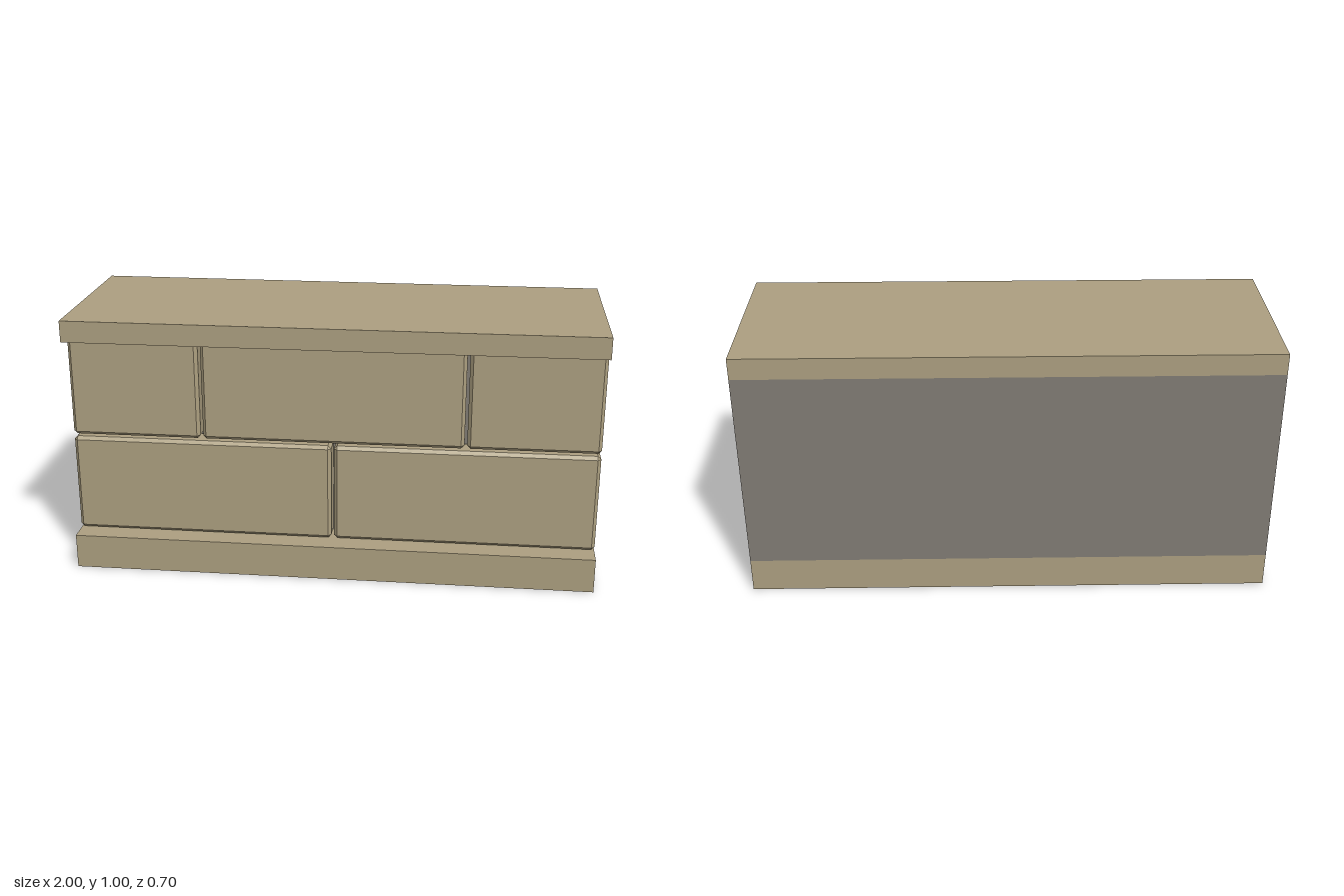
import * as THREE from 'three';
import { ConvexGeometry } from 'three/addons/geometries/ConvexGeometry.js';

const stone = new THREE.MeshStandardMaterial({ color: 0xac9f80 });
const mortar = new THREE.MeshStandardMaterial({ color: 0x807c74 });

// Box given by its low and high corners
function slab(name, [x0, y0, z0], [x1, y1, z1], material) {
  const mesh = new THREE.Mesh(new THREE.BoxGeometry(x1 - x0, y1 - y0, z1 - z0), material);
  mesh.position.set((x0 + x1) / 2, (y0 + y1) / 2, (z0 + z1) / 2);
  mesh.name = name;
  return mesh;
}

// Block with every edge cut at an angle: each face is pulled in by the chamfer
function chamferedBlock(w, h, d, c) {
  const points = [];
  for (const sx of [-1, 1]) for (const sy of [-1, 1]) for (const sz of [-1, 1]) {
    const x = w / 2, y = h / 2, z = d / 2;
    for (const [a, b, e] of [[x, y - c, z - c], [x - c, y, z - c], [x - c, y - c, z]]) {
      points.push(new THREE.Vector3(sx * a, sy * b, sz * e));
    }
  }
  return new ConvexGeometry(points);
}

export function createModel() {
  const model = new THREE.Group();
  model.name = 'wallSection';

  // Base, coping and the mortar core between them
  model.add(slab('base', [-1, 0, -0.35], [1, 0.134, 0.35], stone));
  model.add(slab('core', [-1, 0.134, -0.35], [1, 0.918, 0.185], mortar));
  model.add(slab('coping', [-1, 0.918, -0.35], [1, 1, 0.35], stone));

  // Two staggered courses of facing blocks
  const courses = [
    { y0: 0.139, y1: 0.521, joints: [-1, 0, 1] },
    { y0: 0.531, y1: 0.914, joints: [-1, -0.5, 0.5, 1] },
  ];
  const halfGap = 0.005, z0 = 0.185, z1 = 0.283;
  for (const { y0, y1, joints } of courses) {
    const course = new THREE.Group();
    course.name = 'blockCourse';
    for (let i = 0; i < joints.length - 1; i++) {
      const x0 = joints[i] + (i > 0 ? halfGap : 0);
      const x1 = joints[i + 1] - (i < joints.length - 2 ? halfGap : 0);
      const block = new THREE.Mesh(chamferedBlock(x1 - x0, y1 - y0, z1 - z0, 0.0125), stone);
      block.position.set((x0 + x1) / 2, (y0 + y1) / 2, (z0 + z1) / 2);
      block.name = 'facingBlock';
      course.add(block);
    }
    model.add(course);
  }
  return model;
}
